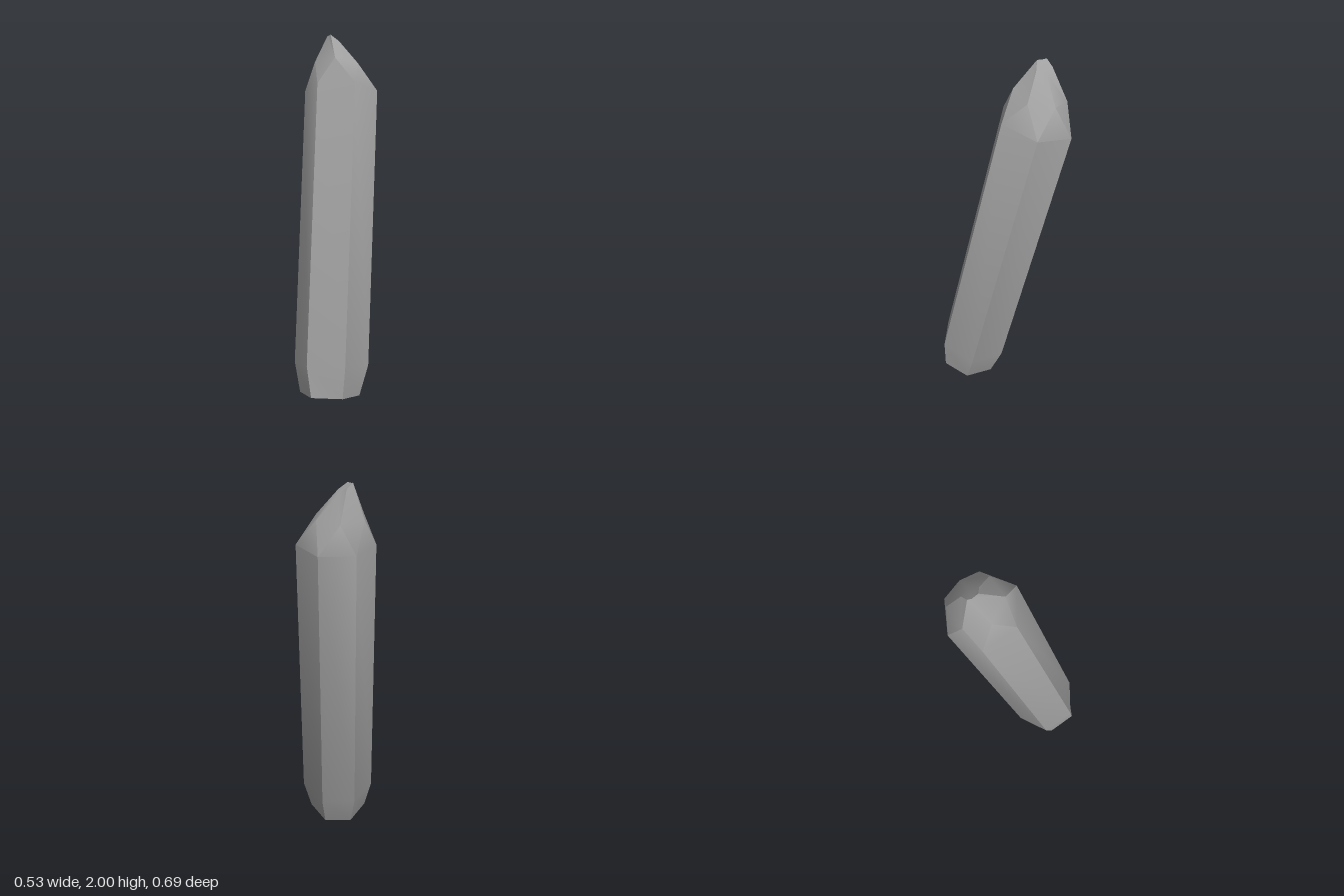
import * as THREE from 'three';
import { toCreasedNormals } from 'three/addons/utils/BufferGeometryUtils.js';

// Six-sided cross-sections from the base to the tip, each running round the same way
const base = [[-0.255, 0.04, 0.108], [-0.245, 0.07, 0.275], [-0.09, 0.068, 0.342], [0.04, 0.036, 0.257], [0.028, 0.002, 0.088], [-0.112, 0, 0.025]];
const shoulder = [[-0.1, 1.69, -0.25], [-0.09, 1.73, -0.06], [0.09, 1.735, 0.045], [0.265, 1.69, -0.06], [0.242, 1.65, -0.268], [0.068, 1.652, -0.345]];
const foot = shoulder.map(([x, y, z]) => [x - 0.168, y - 1.492, z + 0.303]);
// Tip corners sit over the middles of the shaft faces
const facets = [[-0.065, 1.85, -0.175], [0.012, 1.87, -0.06], [0.15, 1.84, -0.065], [0.21, 1.82, -0.187], [0.135, 1.8, -0.3], [-0.005, 1.82, -0.293]];
const crown = [[0.025, 1.995, -0.215], [0.03, 2, -0.18], [0.07, 1.965, -0.155], [0.09, 1.95, -0.2], [0.07, 1.968, -0.245], [0.03, 1.998, -0.235]];

// Skins a stack of rings and closes both ends
function loft(rings) {
  const n = rings[0].length;
  const index = [];
  for (let r = 0; r < rings.length - 1; r++) {
    for (let i = 0; i < n; i++) {
      const j = (i + 1) % n;
      const a = r * n + i, b = r * n + j, c = a + n, d = b + n;
      index.push(a, b, c, b, d, c);
    }
  }
  const top = (rings.length - 1) * n;
  for (let i = 1; i < n - 1; i++) {
    index.push(0, i + 1, i);
    index.push(top, top + i, top + i + 1);
  }
  const geometry = new THREE.BufferGeometry();
  geometry.setAttribute('position', new THREE.Float32BufferAttribute(rings.flat(2), 3));
  geometry.setIndex(index);
  return toCreasedNormals(geometry, 0.7);
}

export function createModel() {
  const group = new THREE.Group();
  group.name = 'crystal';
  const stone = new THREE.MeshStandardMaterial({ color: 0xa0a0a0 });
  stone.name = 'grey stone';

  // Leaning shaft with a bevelled foot and a faceted point
  const shard = new THREE.Mesh(loft([base, foot, shoulder, facets, crown]), stone);
  shard.name = 'crystalShard';
  group.add(shard);
  return group;
}
